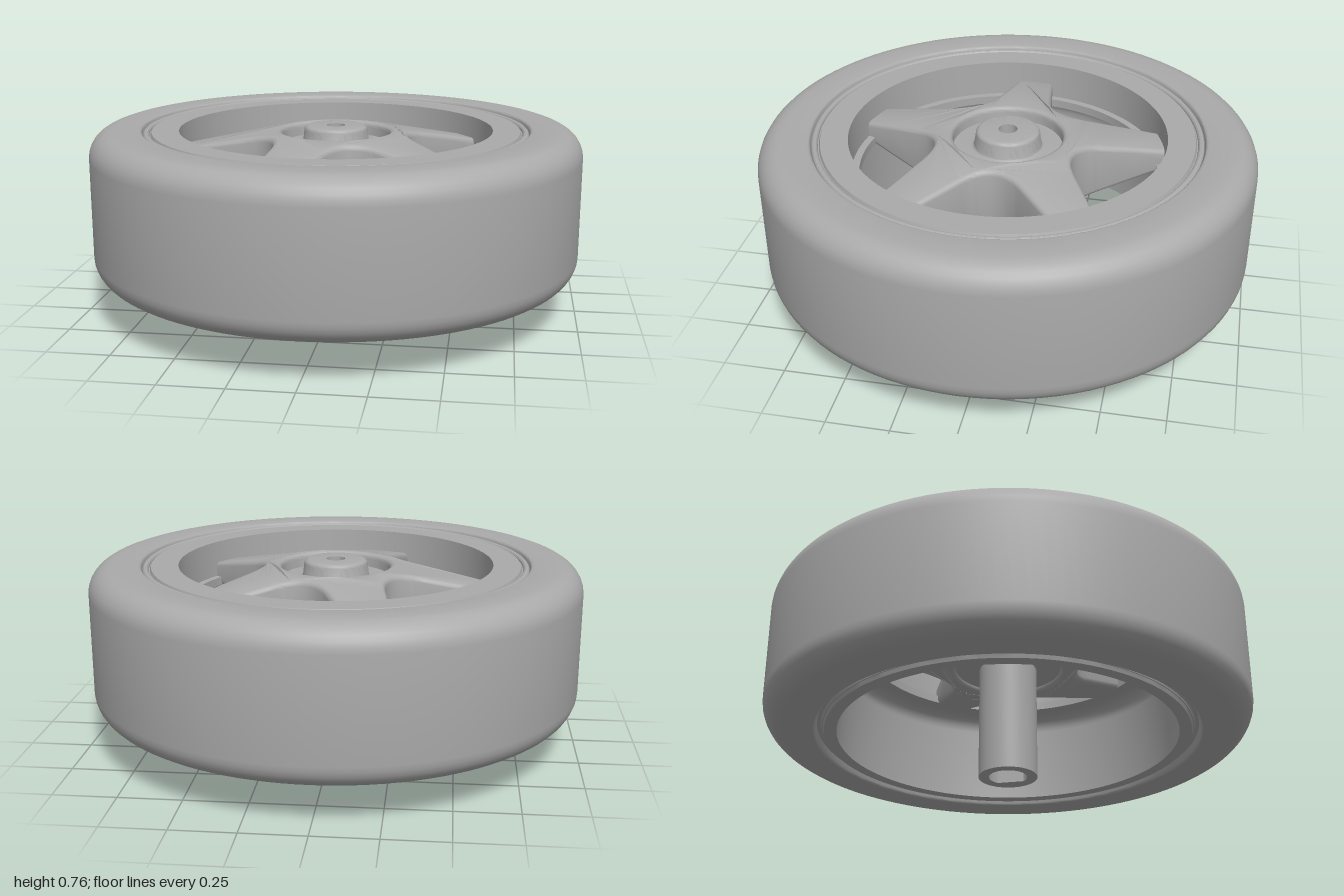
import * as THREE from 'three';
import { toCreasedNormals } from 'three/addons/utils/BufferGeometryUtils.js';

const SEG = 112;
const V = (x, y) => new THREE.Vector2(x, y);

// Rounded corner points around a centre, angles in degrees
function arc(cx, cy, r, from, to, n = 7) {
  return Array.from({ length: n + 1 }, (_, i) => {
    const a = THREE.MathUtils.degToRad(from + (to - from) * i / n);
    return V(cx + r * Math.cos(a), cy + r * Math.sin(a));
  });
}

export function createModel() {
  const group = new THREE.Group();
  const grey = new THREE.MeshStandardMaterial({ color: 0xaaaaaa });
  grey.name = 'grey plastic';

  function add(name, geometry) {
    const mesh = new THREE.Mesh(toCreasedNormals(geometry, 0.5), grey);
    mesh.name = name;
    group.add(mesh);
  }
  // Closed counter-clockwise profile (radius, height) turned about the axle
  const turned = (name, pts, seg = SEG) =>
    add(name, new THREE.LatheGeometry([...pts, pts[0].clone()], seg));

  // Tyre: wide band with rounded shoulders
  turned('tyre', [
    V(0.78, 0.19),
    ...arc(0.80, 0.17, 0.012, 180, 270, 4),
    ...arc(0.90, 0.258, 0.1, 270, 360),
    ...arc(0.90, 0.66, 0.1, 0, 90),
    ...arc(0.80, 0.748, 0.012, 90, 180, 4),
    V(0.78, 0.73),
  ]);

  // Rim: front wall, inner ledge and hollow barrel behind it
  turned('rim', [
    V(0.70, 0.165), V(0.75, 0.165), V(0.755, 0.18),
    ...arc(0.772, 0.18, 0.013, 180, 0, 6), V(0.79, 0.18),
    V(0.79, 0.735),
    ...arc(0.772, 0.738, 0.013, 0, 180, 6),
    V(0.755, 0.738), V(0.75, 0.75), V(0.64, 0.75),
    V(0.635, 0.6), V(0.605, 0.6), V(0.605, 0.565),
    ...arc(0.62, 0.485, 0.075, 90, 0),
  ]);

  // Five tapered spokes joined in a star, with rounded valleys
  const outline = new THREE.Shape();
  const turn = (x, y, a) => [x * Math.cos(a) - y * Math.sin(a), x * Math.sin(a) + y * Math.cos(a)];
  const step = Math.PI * 2 / 5;
  for (let k = 0; k < 5; k++) {
    const a = Math.PI + k * step;
    if (k === 0) outline.moveTo(...turn(0.36, -0.117, a));
    for (const [r, w] of [[0.5, -0.098], [0.67, -0.076], [0.67, 0.076], [0.5, 0.098], [0.36, 0.117]])
      outline.lineTo(...turn(r, w, a));
    outline.quadraticCurveTo(...turn(0.192, 0.139, a), ...turn(0.36, -0.117, a + step));
  }
  outline.holes.push(new THREE.Path().absarc(0, 0, 0.222, 0, Math.PI * 2, true));
  const bevel = 0.02, depth = 0.16;
  const star = new THREE.ExtrudeGeometry(outline, {
    depth: depth - 2 * bevel, curveSegments: 20, bevelEnabled: true,
    bevelSize: bevel, bevelThickness: bevel, bevelOffset: -bevel, bevelSegments: 4,
  });
  star.translate(0, 0, bevel).rotateX(-Math.PI / 2);
  // Slope the spokes down in front and up behind, from hub to rim
  const p = star.attributes.position;
  for (let i = 0; i < p.count; i++) {
    const t = THREE.MathUtils.clamp((Math.hypot(p.getX(i), p.getZ(i)) - 0.25) / 0.385, 0, 1.1);
    const y = p.getY(i);
    p.setY(i, y > depth / 2 ? 0.74 - 0.08 * t - (depth - y) : 0.47 + 0.1 * t + y);
  }
  add('spokes', star);

  // Hub: recessed floor with a raised boss and a bored centre
  turned('hub', [
    V(0.038, 0.47), V(0.235, 0.49), V(0.235, 0.685),
    ...arc(0.15, 0.70, 0.015, 270, 180, 4),
    ...arc(0.11, 0.74, 0.02, 0, 90, 5),
    V(0.038, 0.76),
  ], 64);

  // Axle post with a D-shaped socket
  const post = new THREE.Shape().absarc(0, 0, 0.12, 0, Math.PI * 2, false);
  const cut = 0.75;
  post.holes.push(new THREE.Path().absarc(0, 0, 0.078, cut, Math.PI * 2 - cut, false));
  const postGeometry = new THREE.ExtrudeGeometry(post, { depth: 0.49, bevelEnabled: false, curveSegments: 32 });
  add('axlePost', postGeometry.rotateX(-Math.PI / 2));

  return group;
}
